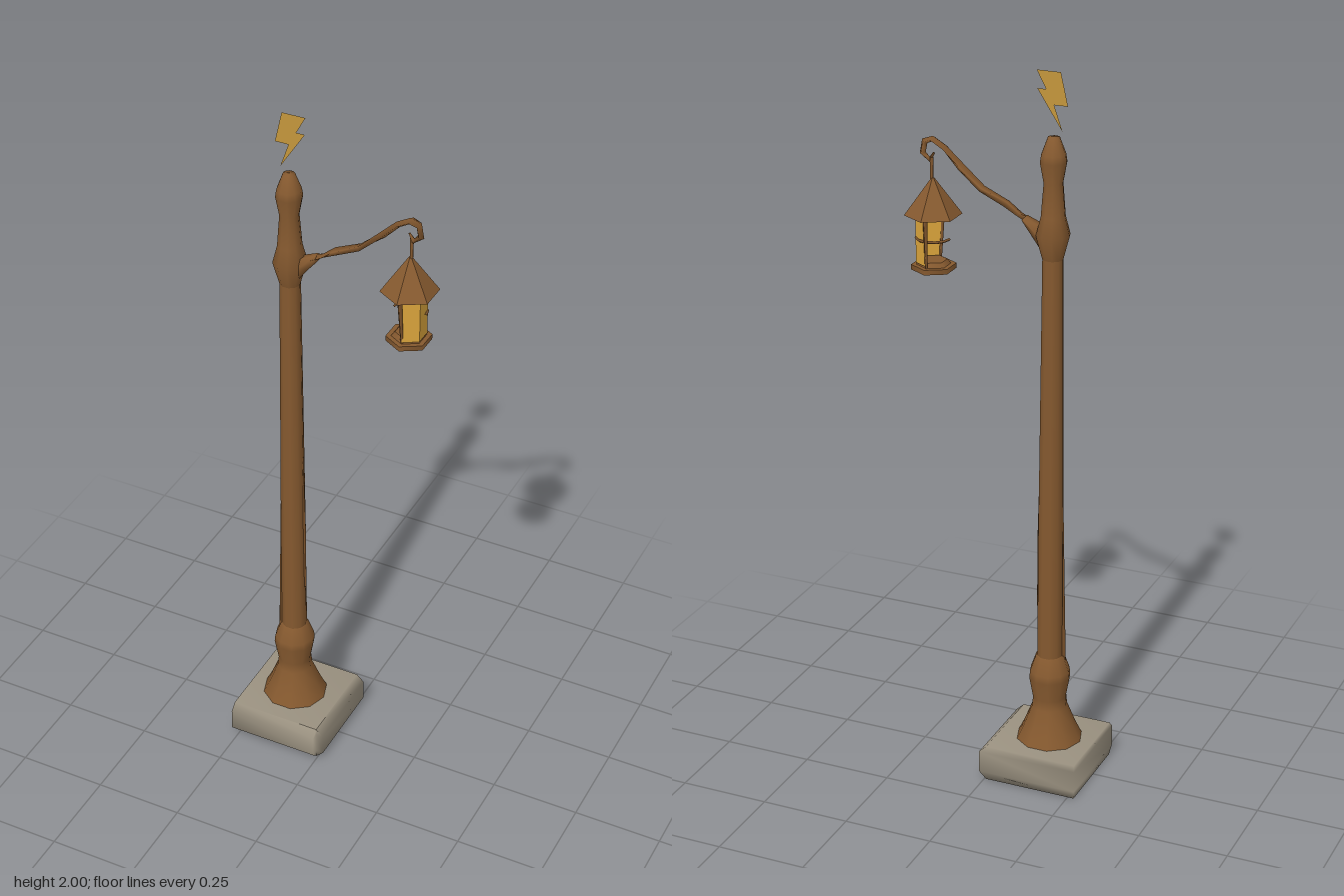
import * as THREE from 'three';

const mat = (name, color, side = THREE.FrontSide) => {
  const m = new THREE.MeshStandardMaterial({ color, side });
  m.name = name;
  return m;
};

// Skin a list of rings (equal point counts) with sides and fan caps
function loft(rings, fan = 0) {
  const n = rings[0].length, last = (rings.length - 1) * n, idx = [];
  for (let r = 0; r < rings.length - 1; r++) {
    for (let i = 0; i < n; i++) {
      const a = r * n + i, b = r * n + (i + 1) % n;
      idx.push(a, a + n, b + n, a, b + n, b);
    }
  }
  for (let i = 1; i < n - 1; i++) {
    const p = (fan + i) % n, q = (fan + i + 1) % n;
    idx.push(fan, p, q, last + fan, last + q, last + p);
  }
  const g = new THREE.BufferGeometry();
  g.setAttribute('position', new THREE.Float32BufferAttribute(rings.flat(2), 3));
  g.setIndex(idx);
  g.computeVertexNormals();
  return g;
}

// Strip in the xy plane; each point is [x, y, half thickness, half depth, twist]
function limb(points, z, sides = 4) {
  return loft(points.map(([x, y, t, w, twist = 0], i) => {
    const a = points[Math.max(i - 1, 0)], b = points[Math.min(i + 1, points.length - 1)];
    const len = Math.hypot(b[0] - a[0], b[1] - a[1]);
    const nx = -(b[1] - a[1]) / len, ny = (b[0] - a[0]) / len;
    return Array.from({ length: sides }, (_, k) => {
      const ang = (k / sides) * Math.PI * 2 + twist;
      const s = Math.sin(ang) * t;
      return [x + nx * s, y + ny * s, z + Math.cos(ang) * w];
    });
  }));
}

export function createModel() {
  const group = new THREE.Group();
  const wood = mat('brown wood', 0x85592f);
  const stone = mat('grey stone', 0x9a9180);
  const glass = mat('amber glass', 0xdba53c, THREE.DoubleSide);
  const gold = mat('gold', 0xc4963c, THREE.DoubleSide);
  const CX = -0.14, CZ = -0.0125, LX = 0.2;

  const add = (name, geo, material, x = 0, y = 0, z = 0, parent = group) => {
    const m = new THREE.Mesh(geo, material);
    m.name = name;
    m.position.set(x, y, z);
    parent.add(m);
    return m;
  };

  // Stone foot, bevelled on its front and left sides
  const foot = (y, x, z) => [
    [-0.268, y, -0.144], [x, y, -0.144], [x, y, 0.12],
    [-0.005, y, 0.12], [-0.005, y, z], [-0.268, y, z],
  ];
  add('footStone', loft([
    foot(0, -0.005, 0.12), foot(0.02, 0.016, 0.141),
    foot(0.082, 0.016, 0.141), foot(0.102, -0.005, 0.12),
  ], 3), stone);

  // Ten-sided post with flared foot, collar and knob
  const lathe = (pts) => new THREE.LatheGeometry(
    pts.map(([r, y]) => new THREE.Vector2(r, y)), 10, Math.PI / 2);
  add('postFoot', lathe([
    [0.093, 0.1], [0.074, 0.14], [0.05, 0.2], [0.047, 0.23], [0.058, 0.29],
    [0.056, 0.31], [0.04, 0.355], [0.03, 0.36],
  ]), wood, CX, 0, CZ);
  add('post', lathe([[0.036, 0.34], [0.034, 0.8], [0.028, 1.53]]), wood, CX, 0, CZ);
  add('postHead', lathe([
    [0.027, 1.5], [0.046, 1.57], [0.033, 1.62], [0.026, 1.71], [0.036, 1.765],
    [0.033, 1.785], [0.016, 1.83], [0, 1.832],
  ]), wood, CX, 0, CZ);

  // Long splinters lying on the post
  add('leftSplinter', limb([
    [-0.104, 0.5, 0.003, 0.006], [-0.105, 0.7, 0.004, 0.008], [-0.108, 0.95, 0.001, 0.002],
  ], CZ), wood);
  add('rightSplinter', limb([
    [-0.174, 0.34, 0.008, 0.014], [-0.172, 0.5, 0.006, 0.012], [-0.168, 0.85, 0.002, 0.003],
  ], 0), wood);

  // Branch stub, twisted arm and curled hook
  add('branchStub', limb([
    [-0.135, 1.53, 0.024, 0.024], [-0.1, 1.575, 0.022, 0.026], [-0.06, 1.605, 0.009, 0.016],
  ], CZ, 6), wood);
  add('arm', limb([
    [-0.08, 1.595, 0.009, 0.016], [-0.045, 1.613, 0.004, 0.016, 0.2], [-0.01, 1.636, 0.009, 0.016, 0.5],
    [0.06, 1.668, 0.008, 0.016, 0.9], [0.12, 1.72, 0.01, 0.016, 1.3], [0.165, 1.765, 0.008, 0.016, 1.57],
    [0.2, 1.785, 0.008, 0.016, 1.57], [0.222, 1.777, 0.009, 0.014, 1.57], [0.228, 1.745, 0.009, 0.012, 1.57],
    [0.208, 1.728, 0.007, 0.009, 1.57], [0.196, 1.748, 0.003, 0.004, 1.57],
  ], CZ), wood);

  // Hanging lantern
  const lantern = new THREE.Group();
  lantern.name = 'lantern';
  lantern.position.set(LX, 0, CZ);
  group.add(lantern);
  const hex = (rt, rb, h, open = false, start = 0, arc = Math.PI * 2, n = 6) =>
    new THREE.CylinderGeometry(rt, rb, h, n, 1, open, start, arc);
  add('hanger', hex(0.005, 0.004, 0.07), wood, 0.003, 1.7, 0, lantern);
  const roof = add('lanternRoof', hex(0.004, 0.077, 0.1).toNonIndexed(), wood, 0, 1.63, 0, lantern);
  roof.geometry.computeVertexNormals();
  add('lanternBase', hex(0.06, 0.06, 0.014), wood, 0, 1.437, 0, lantern);
  add('baseStep', hex(0.036, 0.046, 0.012), wood, 0, 1.45, 0, lantern);

  // Three panes remain on the left half
  const panes = add('panes', hex(0.047, 0.047, 0.132, true, 0, Math.PI, 3).toNonIndexed(),
    glass, 0, 1.515, 0, lantern);
  panes.geometry.computeVertexNormals();

  // Half hoop around the back and two slanted bars
  const hoop = add('hoop', new THREE.TorusGeometry(0.046, 0.004, 4, 6, Math.PI), wood, 0, 1.517, 0, lantern);
  hoop.rotation.x = -Math.PI / 2;
  for (const [s, top, low] of [[1, 0.06, 0.042], [-1, 0.05, 0.046]]) {
    const bar = add(s > 0 ? 'frontBar' : 'backBar', hex(0.007, 0.004, 0.14, false, 0, Math.PI * 2, 4),
      wood, 0, 1.515, s * (top + low) / 2, lantern);
    bar.rotation.x = s * Math.atan((top - low) / 0.14);
  }

  // Flat zigzag bolt floating above the knob
  const bolt = new THREE.Shape([
    [-0.158, 2], [-0.092, 2], [-0.118, 1.952], [-0.094, 1.952],
    [-0.164, 1.845], [-0.14, 1.913], [-0.178, 1.913],
  ].map(([x, y]) => new THREE.Vector2(x, y)));
  add('bolt', new THREE.ShapeGeometry(bolt), gold, 0, 0, CZ);

  return group;
}
